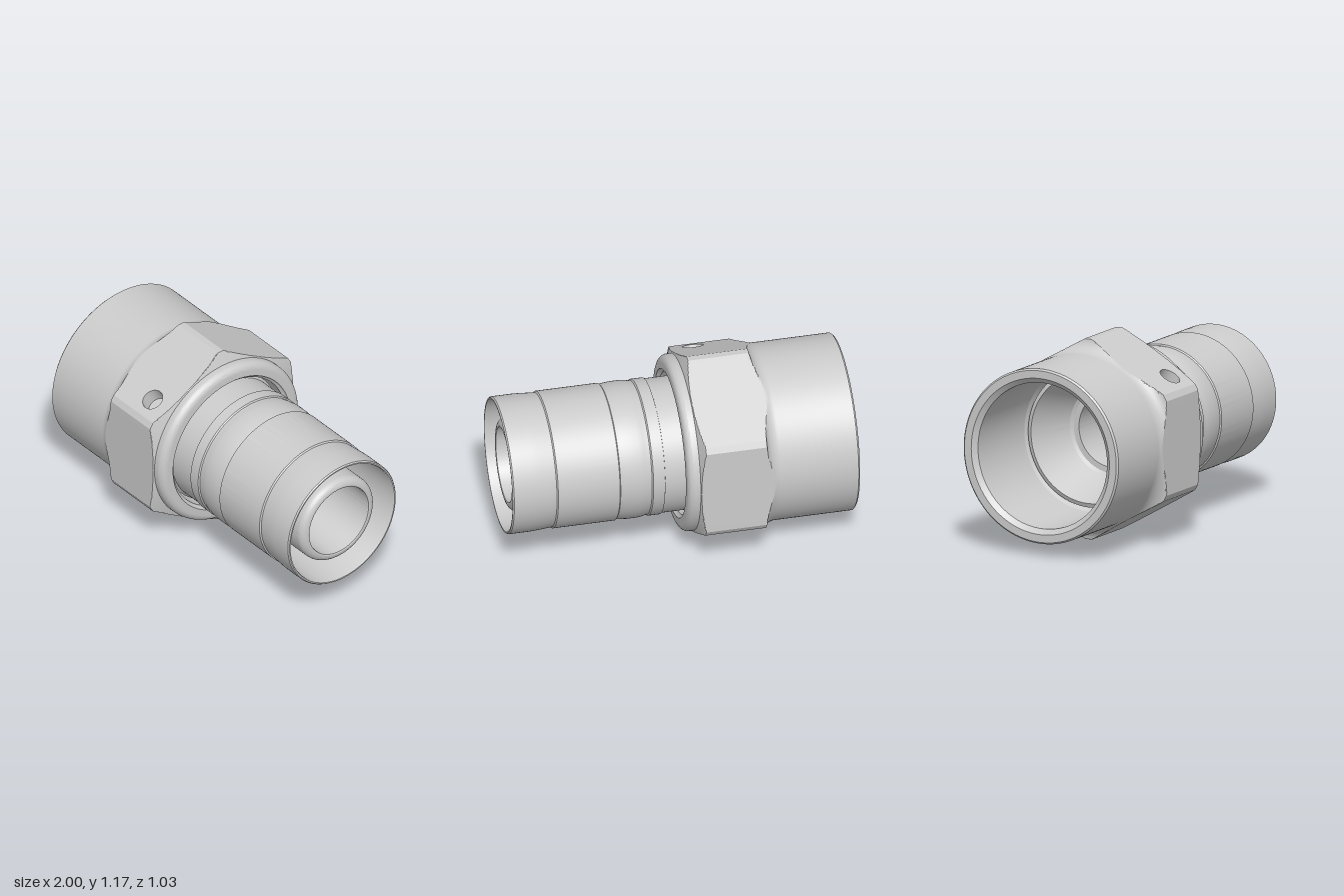
import * as THREE from 'three';
import { toCreasedNormals } from 'three/addons/utils/BufferGeometryUtils.js';

const AXIS_Y = 0.585, SEGS = 180, APOTHEM = 0.517, CORNER = 0.585;
const material = new THREE.MeshStandardMaterial({ color: 0xcccccc });
const openMaterial = new THREE.MeshStandardMaterial({ color: 0xcccccc, side: THREE.DoubleSide });

// Profile points are [x along the axis, radius]; outside runs towards +x, inside runs back.
const lathe = (profile) =>
  new THREE.LatheGeometry(profile.map(([x, r]) => new THREE.Vector2(r, x)), SEGS);

function finish(geometry, name) {
  geometry.rotateZ(-Math.PI / 2);
  const mesh = new THREE.Mesh(toCreasedNormals(geometry, 0.4), material);
  mesh.name = name;
  return mesh;
}

// Rounded corner of a profile, from angle a to b in degrees
function arc(cx, cr, radius, a, b, n = 8) {
  return Array.from({ length: n + 1 }, (_, i) => {
    const t = THREE.MathUtils.degToRad(a + ((b - a) * i) / n);
    return [cx + radius * Math.cos(t), cr + radius * Math.sin(t)];
  });
}

// Straight run split into small steps
const line = (p, q, n) =>
  Array.from({ length: n + 1 }, (_, i) => [p[0] + ((q[0] - p[0]) * i) / n, p[1] + ((q[1] - p[1]) * i) / n]);

// Hexagon radius at an angle, with its corners cut flat
function hexRadius(phi) {
  const step = Math.PI / 3, half = step / 2;
  const wrap = (v) => ((v % step) + step) % step - half;
  return Math.min(APOTHEM / Math.cos(wrap(phi + half)), CORNER / Math.cos(wrap(phi)));
}

function makeNut() {
  const x0 = -0.44, x1 = -0.12;
  const profile = [
    [-1, 0.5], [-0.99, 0.51], [-0.54, 0.51],
    ...arc(-0.54, 0.595, 0.085, -84, -8, 18),
    [-0.452, 0.6], [x0, 0.6], [x1, 0.6],
    ...line([-0.105, 0.6], [-0.07, 0.51], 16),
    ...arc(-0.045, 0.466, 0.044, 90, 0),
    [0, 0.43], [-0.01, 0.425], [-0.02, 0.412], [-0.42, 0.412], [-0.45, 0.425],
    [-0.975, 0.425], [-1, 0.455], [-1, 0.5],
  ];
  const geometry = lathe(profile);
  const pos = geometry.attributes.position;
  for (let i = 0; i < pos.count; i++) {
    const x = pos.getX(i), z = pos.getZ(i), r = Math.hypot(x, z);
    const k = Math.min(1, hexRadius(Math.atan2(x, z)) / r);
    pos.setXYZ(i, x * k, pos.getY(i), z * k);
  }
  // Open a window in the upper front flat for the drilled panel
  const first = 155, last = 163, ring = profile.findIndex((p) => p[0] === x0);
  const source = geometry.index.array, index = [];
  for (let q = 0; q < source.length / 6; q++) {
    const seg = Math.floor(q / (profile.length - 1)), row = q % (profile.length - 1);
    if (row === ring && seg >= first && seg < last) continue;
    index.push(...source.slice(q * 6, q * 6 + 6));
  }
  geometry.setIndex(index);

  const nut = new THREE.Group();
  nut.name = 'nut';
  nut.add(finish(geometry, 'nutShell'));

  // Drilled panel: local x along the axis, local y up the flat, local z outwards
  const along = (seg) => APOTHEM * Math.tan(THREE.MathUtils.degToRad(300 - seg * 2));
  const low = along(last), high = along(first), holeX = -0.22, holeY = -0.164, holeR = 0.062;
  const shape = new THREE.Shape([
    new THREE.Vector2(x0, low), new THREE.Vector2(x1, low),
    new THREE.Vector2(x1, high), new THREE.Vector2(x0, high),
  ]);
  shape.holes.push(new THREE.Path().absarc(holeX, holeY, holeR, 0, Math.PI * 2, true));
  const panel = new THREE.Group();
  panel.name = 'drilledFlat';
  const face = new THREE.Mesh(new THREE.ShapeGeometry(shape, 24), material);
  face.name = 'flatAroundHole';
  face.position.z = APOTHEM;
  const depth = 0.09;
  const wall = new THREE.Mesh(
    new THREE.CylinderGeometry(holeR, holeR, depth, 48, 1, true).rotateX(Math.PI / 2), openMaterial);
  wall.name = 'holeWall';
  wall.position.set(holeX, holeY, APOTHEM - depth / 2);
  const floor = new THREE.Mesh(new THREE.CircleGeometry(holeR, 48), material);
  floor.name = 'holeFloor';
  floor.position.set(holeX, holeY, APOTHEM - depth);
  panel.add(face, wall, floor);
  panel.rotation.x = -Math.PI / 3;
  nut.add(panel);
  return nut;
}

// Crimped sleeve with a conical seat hidden inside the nut
function makeSleeve() {
  return finish(lathe([
    [-0.46, 0.375], [-0.45, 0.4], [-0.08, 0.4], [-0.06, 0.386],
    [0.11, 0.386], [0.112, 0.393], [0.18, 0.393], [0.187, 0.386], [0.195, 0.386],
    [0.22, 0.392], [0.25, 0.395], [0.3, 0.395], [0.34, 0.392], [0.37, 0.387], [0.376, 0.395],
    [0.735, 0.395], [0.742, 0.387], [0.78, 0.39], [0.83, 0.394], [0.87, 0.396], [0.992, 0.396],
    [1, 0.39], [1, 0.382], [0.99, 0.378], [0.45, 0.378], [0.4, 0.35], [0.3, 0.35],
    [0.3, 0.24], [-0.18, 0.24], [-0.2, 0.27], [-0.46, 0.375],
  ]), 'sleeve');
}

// Inner hose tail with a rounded mouth
function makeTube() {
  return finish(lathe([
    [-0.19, 0.218], [-0.19, 0.25], [0.25, 0.25], [0.25, 0.27], [0.92, 0.27],
    ...arc(0.925, 0.225, 0.045, 90, 0), [0.967, 0.218], [0.96, 0.216], [-0.19, 0.216], [-0.19, 0.218],
  ]), 'innerTube');
}

export function createModel() {
  const model = new THREE.Group();
  model.name = 'hoseFitting';
  model.add(makeNut(), makeSleeve(), makeTube());
  model.position.y = AXIS_Y;
  const root = new THREE.Group();
  root.name = 'fitting';
  root.add(model);
  return root;
}
